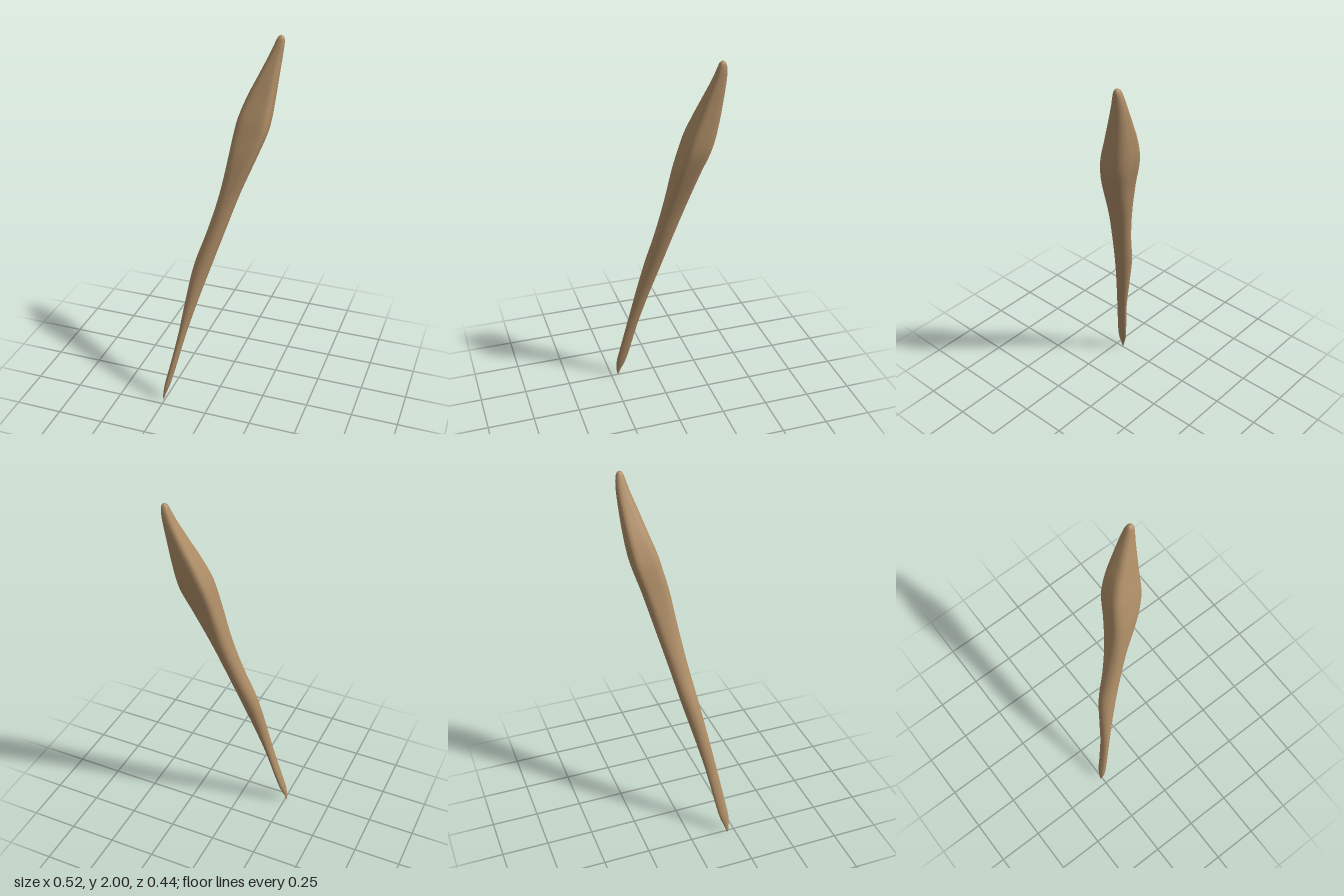
import * as THREE from 'three';

// Sections from tip to tip: [height, xMin, xMax, zMin, zMax]
const SECTIONS = [
  [0, -0.259, -0.256, 0.205, 0.213],
  [0.03, -0.26, -0.248, 0.196, 0.218],
  [0.1, -0.252, -0.223, 0.17, 0.22],
  [0.2, -0.23, -0.197, 0.148, 0.205],
  [0.4, -0.19, -0.15, 0.108, 0.17],
  [0.6, -0.161, -0.095, 0.058, 0.133],
  [0.8, -0.127, -0.035, 0.005, 0.095],
  [1, -0.065, 0.027, -0.042, 0.058],
  [1.2, -0.012, 0.09, -0.092, 0.025],
  [1.4, 0.025, 0.165, -0.142, -0.007],
  [1.52, 0.043, 0.207, -0.177, -0.035],
  [1.6, 0.06, 0.222, -0.195, -0.055],
  [1.7, 0.095, 0.232, -0.208, -0.088],
  [1.8, 0.14, 0.241, -0.216, -0.12],
  [1.9, 0.185, 0.251, -0.22, -0.153],
  [1.96, 0.21, 0.256, -0.217, -0.17],
  [1.99, 0.224, 0.253, -0.208, -0.18],
  [2, 0.238, 0.24, -0.195, -0.193],
];

export function createModel() {
  const model = new THREE.Group();
  const wood = new THREE.MeshStandardMaterial({ color: 0xb08f68 });
  wood.name = 'tan wood';

  // Two rails hold opposite corners of every section
  const rail = (pick) => new THREE.CatmullRomCurve3(
    SECTIONS.map(pick), false, 'catmullrom', 0.5);
  const low = rail((s) => new THREE.Vector3(s[1], s[0], s[3]));
  const high = rail((s) => new THREE.Vector3(s[2], s[0], s[4]));

  const rings = 102, sides = 48;
  const positions = [], index = [];
  for (let i = 0; i <= rings; i++) {
    const a = low.getPoint(i / rings), b = high.getPoint(i / rings);
    const cx = (a.x + b.x) / 2, cz = (a.z + b.z) / 2;
    const rx = (b.x - a.x) / 2, rz = (b.z - a.z) / 2;
    // The shaft is round and becomes four-edged at the broad shoulder
    const edge = Math.exp(-(((a.y - 1.58) / 0.3) ** 2));
    for (let j = 0; j < sides; j++) {
      const t = (j / sides) * Math.PI * 2 + 0.0001;
      const c = Math.cos(t), s = Math.sin(t);
      const sharp = c * s > 0 ? 2.6 : c < 0 ? 1.8 : 0.5;
      const p = 2 / (2 + edge * sharp);
      positions.push(
        cx + rx * Math.sign(c) * Math.abs(c) ** p,
        Math.max(0, Math.min(2, a.y)),
        cz + rz * Math.sign(s) * Math.abs(s) ** p);
    }
  }
  for (let i = 0; i < rings; i++) {
    for (let j = 0; j < sides; j++) {
      const k = (j + 1) % sides;
      const p = i * sides + j, q = i * sides + k;
      index.push(p, p + sides, q, q, p + sides, q + sides);
    }
  }
  // Close both tips
  const last = rings * sides;
  for (let j = 1; j < sides - 1; j++) {
    index.push(0, j, j + 1, last, last + j + 1, last + j);
  }

  const geometry = new THREE.BufferGeometry();
  geometry.setAttribute('position', new THREE.Float32BufferAttribute(positions, 3));
  geometry.setIndex(index);
  geometry.computeVertexNormals();

  const shaft = new THREE.Mesh(geometry, wood);
  shaft.name = 'taperedShaft';
  model.add(shaft);
  return model;
}
